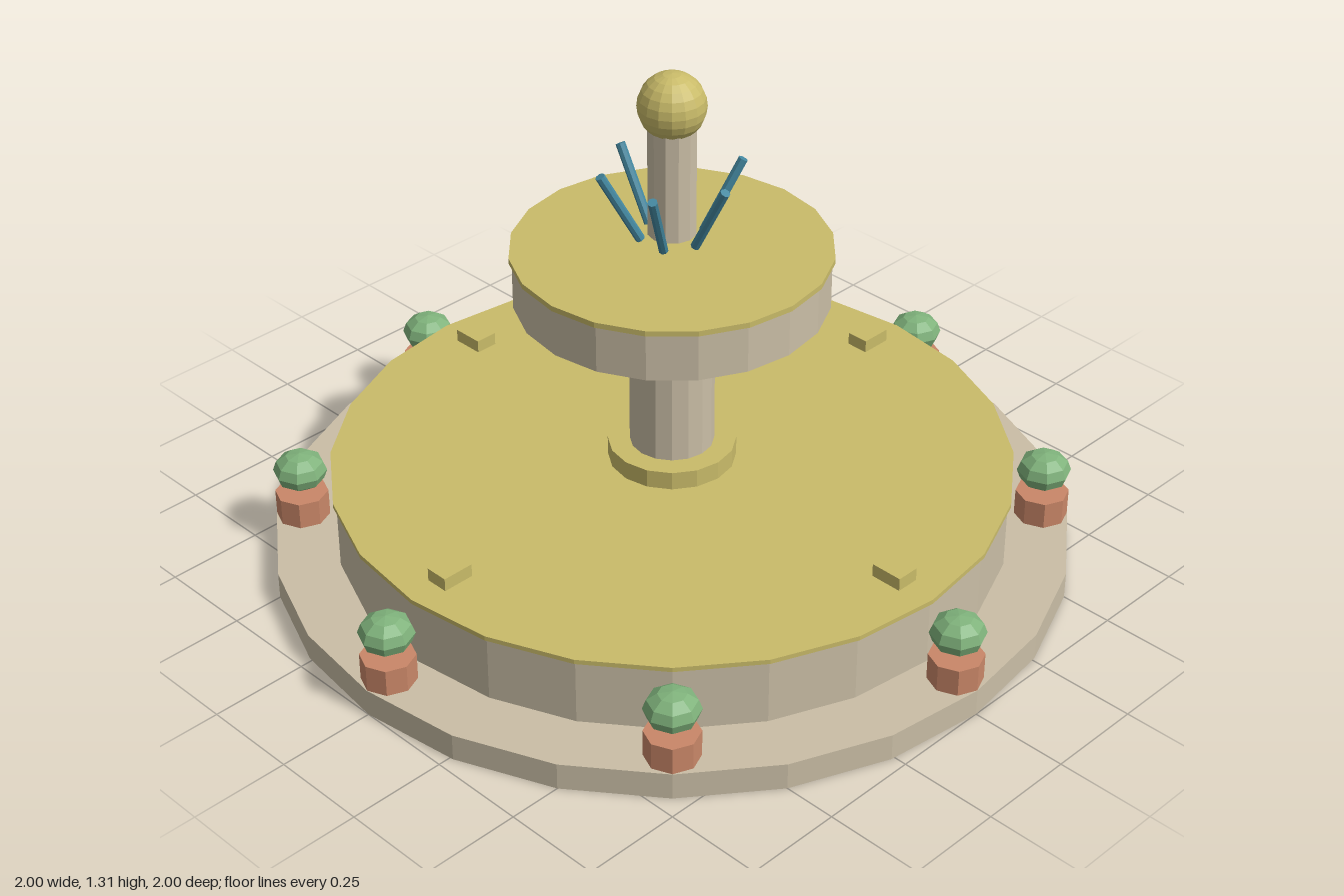
import * as THREE from 'three';

const paint = (name, color) => {
  const m = new THREE.MeshStandardMaterial({ color, flatShading: true });
  m.name = name;
  return m;
};

export function createModel() {
  const fountain = new THREE.Group();
  fountain.name = 'fountain';
  const stone = paint('stone', 0xcabea6);
  const gold = paint('gold', 0xc9bb69);
  const clay = paint('terracotta', 0xc98768);
  const leaf = paint('leaf green', 0x7fb27b);
  const water = paint('water blue', 0x4488a0);

  const add = (name, geometry, material, parent = fountain) => {
    const mesh = new THREE.Mesh(geometry, material);
    mesh.name = name;
    parent.add(mesh);
    return mesh;
  };
  // Upright drum between two heights
  const drum = (name, radius, y0, y1, sides, material, parent) => {
    const mesh = add(name, new THREE.CylinderGeometry(radius, radius, y1 - y0, sides), material, parent);
    mesh.position.y = (y0 + y1) / 2;
    return mesh;
  };
  // Groups spaced evenly around the vertical axis, each facing outward along +x
  const ring = (name, count, build) => {
    for (let i = 0; i < count; i++) {
      const g = new THREE.Group();
      g.name = name;
      g.rotation.y = (i / count) * Math.PI * 2;
      build(g);
      fountain.add(g);
    }
  };

  // Plinth and lower basin
  drum('base', 1, 0, 0.07, 24, stone);
  drum('lowerBasin', 0.845, 0.07, 0.242, 24, stone);
  drum('lowerBasinTop', 0.853, 0.242, 0.254, 24, gold);

  // Column with collars
  drum('lowerCollar', 0.16, 0.254, 0.302, 16, gold);
  drum('column', 0.105, 0.302, 0.662, 16, stone);
  drum('upperCollar', 0.147, 0.662, 0.714, 16, gold);

  // Upper basin
  drum('upperBasin', 0.385, 0.714, 0.837, 20, stone);
  drum('upperBasinTop', 0.392, 0.837, 0.851, 20, gold);

  // Spire and finial
  drum('spire', 0.06, 0.89, 1.17, 12, stone);
  add('finial', new THREE.SphereGeometry(0.083, 16, 12), gold).position.y = 1.226;

  // Water jets leaning outward
  ring('waterJet', 6, (g) => {
    const jet = add('jet', new THREE.CylinderGeometry(0.012, 0.012, 0.205, 8), water, g);
    jet.position.set(0.126, 0.972, 0);
    jet.rotation.z = -0.49;
  });

  // Small blocks on the lower basin
  ring('basinBlock', 4, (g) => {
    add('block', new THREE.BoxGeometry(0.083, 0.035, 0.06), gold, g).position.set(0.734, 0.27, 0);
  });

  // Potted shrubs around the base
  ring('pottedShrub', 8, (g) => {
    drum('pot', 0.067, 0.07, 0.14, 8, clay, g).position.x = 0.932;
    const shrub = add('shrub', new THREE.SphereGeometry(0.068, 8, 6), leaf, g);
    shrub.position.set(0.932, 0.203, 0);
    shrub.scale.y = 0.72;
  });

  return fountain;
}
